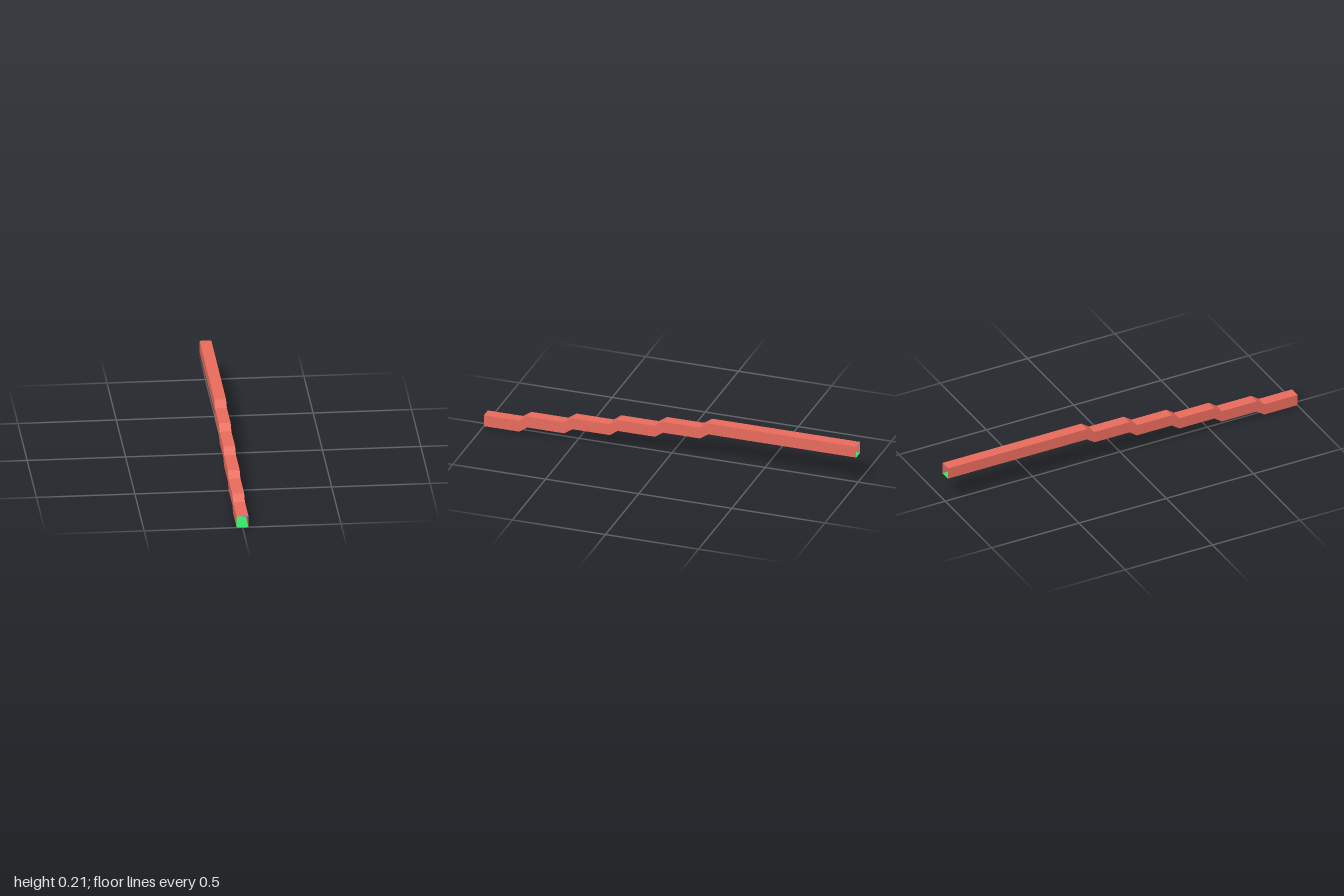
import * as THREE from 'three';

const W = 0.03;          // half width of the passage
const H = 0.061;         // height of the passage
const LINING = 0.0015;   // gap between the ceiling and its lining
const RISE = 0.0303;     // rise of one ramp
const RUN = 0.043;       // length of one ramp
const PERIOD = 0.243;    // distance between ramps
const FIRST = 0.81;      // z where the first ramp starts
const RAMPS = 5;
const STEPS = 8;         // treads in each ramp

const material = (color) =>
  new THREE.MeshStandardMaterial({ color, side: THREE.DoubleSide, flatShading: true });

// Strip between two matching rows of points; going toward the back,
// it faces up when rowA is on the right and rowB on the left
function strip(rowA, rowB) {
  const pos = [];
  for (let i = 0; i < rowA.length - 1; i++) {
    const a = rowA[i], b = rowB[i], c = rowB[i + 1], d = rowA[i + 1];
    pos.push(...a, ...b, ...c, ...a, ...c, ...d);
  }
  const g = new THREE.BufferGeometry();
  g.setAttribute('position', new THREE.Float32BufferAttribute(pos, 3));
  g.computeVertexNormals();
  return g;
}

const row = (path, x, dy = 0) => path.map(([z, y]) => [x, y + dy, z]);

export function createModel() {
  const group = new THREE.Group();
  const red = material(0xe86b5d);
  const green = material(0x33e668);
  const blue = material(0x4674e4);

  const add = (name, geometry, mat) => {
    const mesh = new THREE.Mesh(geometry, mat);
    mesh.name = name;
    group.add(mesh);
  };

  // Floor line as [z, y] points, climbing toward the back
  const path = [[1, 0]];
  for (let i = 0; i < RAMPS; i++) {
    const z = FIRST - i * PERIOD;
    path.push([z, i * RISE], [z - RUN, (i + 1) * RISE]);
  }
  path.push([-1, RAMPS * RISE]);

  // Side walls, facing outward
  add('leftWall', strip(row(path, W, H), row(path, W)), red);
  add('rightWall', strip(row(path, -W), row(path, -W, H)), red);

  // Red ceiling facing up, with a blue lining facing down just below it
  add('ceiling', strip(row(path, -W, H), row(path, W, H)), red);
  add('ceilingLining', strip(row(path, W, H - LINING), row(path, -W, H - LINING)), blue);

  // Level floors alternate with finely stepped ramps
  for (let i = 0; i < path.length - 1; i++) {
    const [z0, y0] = path[i], [z1, y1] = path[i + 1];
    if (i % 2 === 0) {
      const level = [path[i], path[i + 1]];
      add('floor', strip(row(level, -W), row(level, W)), green);
      continue;
    }
    const stairs = [[z0, y0]];
    for (let s = 1; s <= STEPS; s++) {
      const y = y0 + (y1 - y0) * s / STEPS;
      stairs.push([z0 + (z1 - z0) * (s - 1) / STEPS, y], [z0 + (z1 - z0) * s / STEPS, y]);
    }
    add('steppedRamp', strip(row(stairs, -W), row(stairs, W)), blue);
  }
  return group;
}
